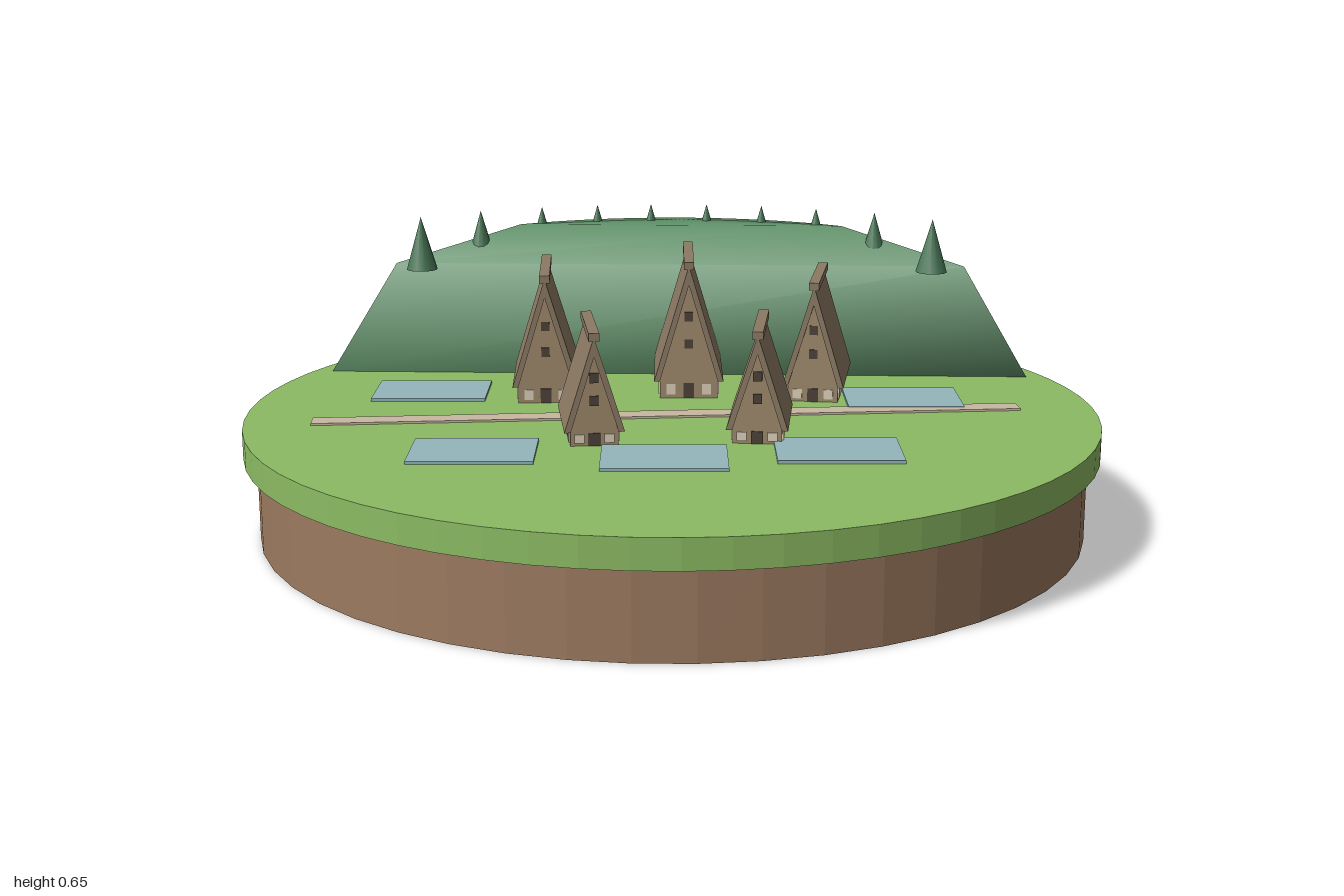
import * as THREE from 'three';

const mat = (name, color, extra = {}) => {
  const m = new THREE.MeshStandardMaterial({ color, ...extra });
  m.name = name;
  return m;
};
const M = {
  soil: mat('soil', 0x9c7a60, { flatShading: true }),
  grass: mat('grass', 0x8cbb63, { flatShading: true }),
  hill: mat('hillGreen', 0x5f9068),
  tree: mat('treeGreen', 0x4a7858),
  thatch: mat('thatch', 0x8c7a64),
  wall: mat('timberWall', 0xa08a6c),
  paper: mat('paperPanel', 0xddd0ba),
  dark: mat('darkWindow', 0x4c4138),
  path: mat('path', 0xc8b8a2),
  water: mat('paddyWater', 0x93b6bc),
};
const GROUND = 0.265;

function add(parent, name, geo, material, x = 0, y = 0, z = 0, ry = 0) {
  const mesh = new THREE.Mesh(geo, material);
  mesh.name = name;
  mesh.position.set(x, y, z);
  mesh.rotation.y = ry;
  parent.add(mesh);
  return mesh;
}

const box = (w, h, d) => new THREE.BoxGeometry(w, h, d);

// Extrudes an outline along z, centred on z = 0
function prism(points, depth) {
  const shape = new THREE.Shape(points.map(([x, y]) => new THREE.Vector2(x, y)));
  return new THREE.ExtrudeGeometry(shape, { depth, bevelEnabled: false }).translate(0, 0, -depth / 2);
}

// Hill: circle segments of shrinking size stacked and skinned smoothly
function hillGeometry() {
  const rings = [[0.955, 68, GROUND], [0.873, 57, 0.527], [0.737, 35, 0.61]]; // radius, half angle, height
  const mid = THREE.MathUtils.degToRad(-70);
  const n = 40;
  const pos = [];
  const idx = [];
  for (const [r, half, y] of rings) {
    for (let j = 0; j < n; j++) {
      const a = mid + THREE.MathUtils.degToRad(half) * (2 * j / (n - 1) - 1);
      pos.push(r * Math.cos(a), y, r * Math.sin(a));
    }
  }
  const bottom = rings.length * n;
  const top = bottom + 1;
  pos.push(0.6 * Math.cos(mid), GROUND, 0.6 * Math.sin(mid));
  pos.push(0.67 * Math.cos(mid), 0.61, 0.67 * Math.sin(mid));
  for (let j = 0; j < n; j++) {
    const k = (j + 1) % n;
    for (let i = 0; i < rings.length - 1; i++) {
      const a = i * n + j, b = i * n + k;
      idx.push(a, a + n, b, b, a + n, b + n);
    }
    const last = (rings.length - 1) * n;
    idx.push(bottom, j, k, top, last + k, last + j);
  }
  const geo = new THREE.BufferGeometry();
  geo.setAttribute('position', new THREE.Float32BufferAttribute(pos, 3));
  geo.setIndex(idx);
  geo.computeVertexNormals();
  return geo;
}

// Steep thatched farmhouse, gables on local +z and -z
function house(w, l, h) {
  const g = new THREE.Group();
  g.name = 'farmhouse';
  const hw = 0.13 * h;
  const t = 0.014;
  const apex = h - 0.008;
  const inner = apex - t * (apex - hw) / (w / 2);
  const bw = w / 2 - t;
  const bl = l - 0.024;
  add(g, 'walls', prism([[-bw, 0], [bw, 0], [bw, hw], [0, inner], [-bw, hw]], bl), M.wall);
  add(g, 'thatchedRoof', prism([[-w / 2, hw], [-bw, hw], [0, inner], [bw, hw], [w / 2, hw], [0, apex]], l), M.thatch);
  add(g, 'ridgeCap', box(0.024, 0.018, l + 0.004), M.thatch, 0, h - 0.009, 0);
  for (const s of [-1, 1]) {
    // Gable windows, door and panels
    const z = s * (bl / 2 + 0.001);
    for (const f of [0.4, 0.6]) add(g, 'gableWindow', box(0.02, 0.022, 0.005), M.dark, 0, f * h, z);
    add(g, 'door', box(0.026, hw * 0.85, 0.005), M.dark, 0, hw * 0.43, z);
    for (const p of [-1, 1]) add(g, 'gablePanel', box(0.022, hw * 0.6, 0.005), M.paper, p * bw * 0.62, hw * 0.5, z);
    // Sliding panels along the sides
    for (let i = 0; i < 4; i++) {
      add(g, 'sidePanel', box(0.005, hw * 0.7, bl * 0.18), M.paper, s * (bw + 0.001), hw * 0.5, bl * (i - 1.5) * 0.235);
    }
  }
  return g;
}

export function createModel() {
  const root = new THREE.Group();
  root.name = 'valleyVillage';

  // Round base
  add(root, 'soilBase', new THREE.CylinderGeometry(0.97, 0.97, 0.2, 48), M.soil, 0, 0.1, 0);
  add(root, 'grassDisc', new THREE.CylinderGeometry(1, 1, GROUND - 0.198, 64), M.grass, 0, (GROUND + 0.198) / 2, 0);

  // Wooded hill with a row of conifers
  add(root, 'hill', hillGeometry(), M.hill);
  const trees = [[-0.47, -0.64], [-0.3, -0.7], [-0.13, -0.72], [0.02, -0.71], [0.16, -0.68],
    [0.3, -0.63], [0.43, -0.56], [0.55, -0.47], [0.665, -0.35], [0.76, -0.2]];
  const cone = new THREE.ConeGeometry(0.04, 0.135, 12);
  for (const [x, z] of trees) add(root, 'conifer', cone, M.tree, x, 0.585, z);

  // Village path and flooded paddies
  add(root, 'path', box(1.66, 0.006, 0.055), M.path, -0.025, GROUND + 0.002, 0.062, -0.226);
  const paddies = [[-0.51, -0.335], [-0.535, 0.245], [-0.155, 0.425], [0.225, 0.485], [0.555, 0.09]];
  for (const [x, z] of paddies) add(root, 'paddy', box(0.275, 0.008, 0.19), M.water, x, GROUND + 0.003, z, -0.31);

  // Farmhouses: x, z, turn, width, length, height
  const houses = [
    [-0.235, -0.275, -0.27, 0.16, 0.296, 0.312],
    [0.113, -0.22, -0.31, 0.168, 0.306, 0.335],
    [0.4, -0.075, -0.46, 0.148, 0.285, 0.292],
    [-0.245, 0.16, -0.2, 0.134, 0.25, 0.256],
    [0.125, 0.262, -0.41, 0.138, 0.25, 0.256],
  ];
  for (const [x, z, turn, w, l, h] of houses) {
    const g = house(w, l, h);
    g.position.set(x, GROUND, z);
    g.rotation.y = turn;
    root.add(g);
  }
  return root;
}
